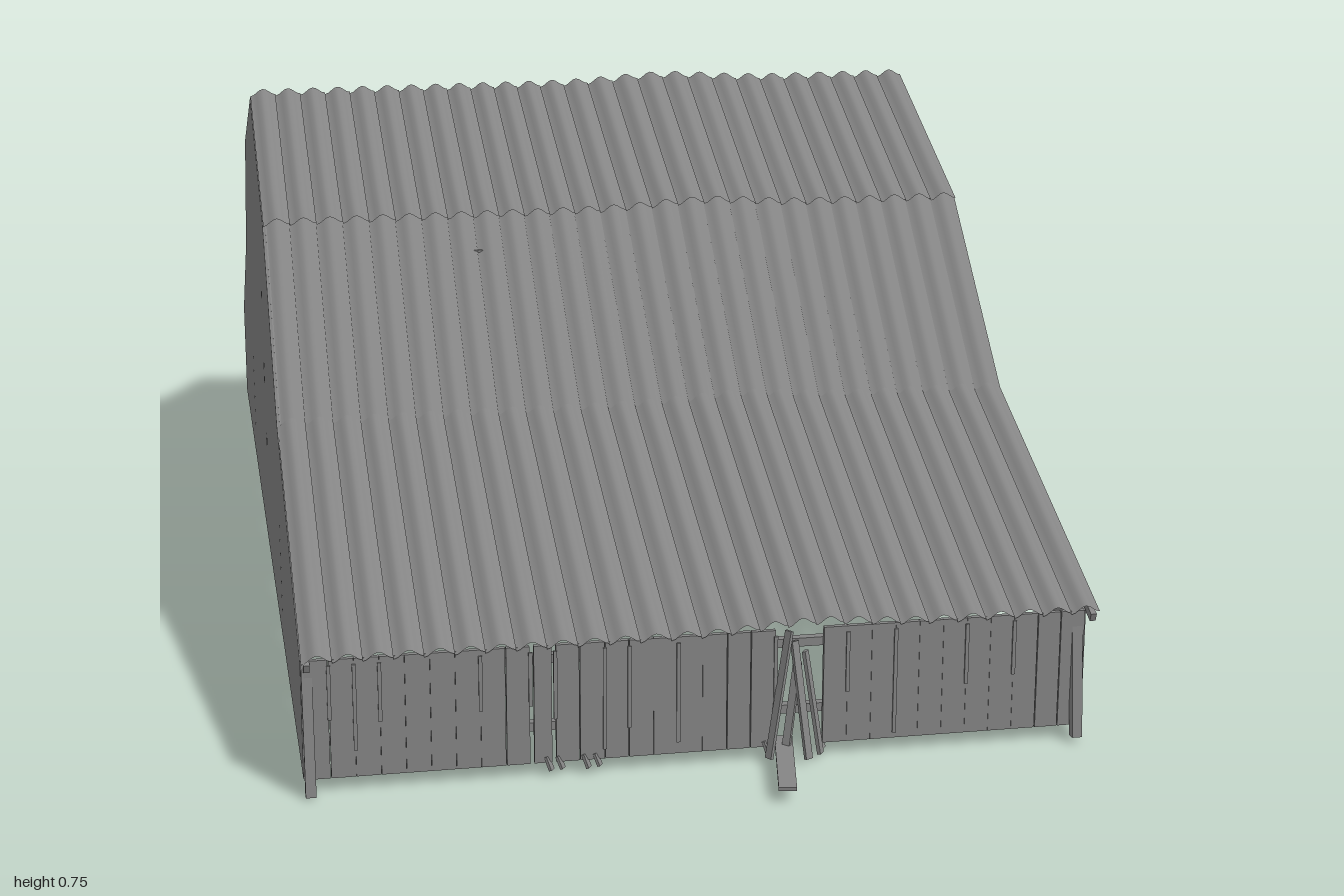
import * as THREE from 'three';
import { mergeGeometries } from 'three/addons/utils/BufferGeometryUtils.js';

const grey = new THREE.MeshStandardMaterial({ color: 0x848484, side: THREE.DoubleSide });

// Roof line as [z, y], from the front eave over the ridge to the back eave
const ROOF = [[0.864, 0.19], [0.39, 0.367], [0.12, 0.6], [-0.215, 0.732], [-0.53, 0.6], [-0.69, 0.377], [-0.975, 0.19]];
const X0 = -0.588, X1 = 0.489, WALL_L = 0.47, WALL_R = -0.585;

function rng(seed) {
  return () => (seed = (seed * 16807) % 2147483647) / 2147483647;
}

function roofY(z) {
  for (let i = 0; i < ROOF.length - 1; i++) {
    const [za, ya] = ROOF[i], [zb, yb] = ROOF[i + 1];
    if (z <= za && z >= zb) return ya + (yb - ya) * (za - z) / (za - zb);
  }
  return 0.19;
}

function add(parent, name, geometry) {
  const mesh = new THREE.Mesh(geometry, grey);
  mesh.name = name;
  parent.add(mesh);
  return mesh;
}

// Rectangular timber between two points
function beam(parent, name, a, b, w = 0.018, h = w) {
  const from = new THREE.Vector3(...a), to = new THREE.Vector3(...b);
  const mesh = add(parent, name, new THREE.BoxGeometry(w, h, from.distanceTo(to)));
  mesh.position.copy(from).lerp(to, 0.5);
  mesh.lookAt(to);
  return mesh;
}

// Corrugated sheets between two roof points: one narrow panel per wave, each lapping the next
function sheet([za, ya], [zb, yb], lift) {
  const waves = 27, panels = [];
  for (let k = 0; k < waves; k++) {
    const geo = new THREE.PlaneGeometry(1, 1, 8, 5);
    const pos = geo.attributes.position;
    for (let i = 0; i < pos.count; i++) {
      const f = pos.getX(i) + 0.5, t = 0.5 - pos.getY(i);
      const x = X0 + (k + f) / waves * (X1 - X0);
      const y = ya + (yb - ya) * t, z = za + (zb - za) * t;
      const sag = 0.009 * Math.exp(-(((x - 0.09) / 0.1) ** 2));
      // The middle panels have slid sideways towards the eaves
      const skew = 0.035 * Math.exp(-(((x + 0.05) / 0.17) ** 2)) * (0.45 - y);
      const wave = -0.005 * Math.cos(f * Math.PI * 2) + 0.0025 * f;
      pos.setXYZ(i, x + skew, y + wave + sag + lift, z);
    }
    geo.computeVertexNormals();
    panels.push(geo);
  }
  return mergeGeometries(panels);
}

function rectPath(u0, u1, v0, v1) {
  return new THREE.Path([[u0, v0], [u0, v1], [u1, v1], [u1, v0]].map(p => new THREE.Vector2(...p)));
}

// Gable wall: doors are notches [zFront, zBack] in the lower edge
function gableGeometry(doors, holes) {
  const pts = [[0.85, 0.02]];
  for (const [a, b] of doors) pts.push([a, 0.02], [a, 0.18], [b, 0.18], [b, 0.02]);
  pts.push([-0.96, 0.02]);
  const top = ROOF.map(([z, y]) => [THREE.MathUtils.clamp(z, -0.96, 0.85), y - 0.006]);
  pts.push(...top.reverse());
  const shape = new THREE.Shape(pts.map(([z, y]) => new THREE.Vector2(-z, y)));
  shape.holes = holes.map(([z0, z1, y0, y1]) => rectPath(-z0, -z1, y0, y1));
  return new THREE.ExtrudeGeometry(shape, { depth: 0.008, bevelEnabled: false }).rotateY(Math.PI / 2);
}

// Low plank wall with a missing board and a broken patch, facing +z
function plankWall(name, seed) {
  const wall = new THREE.Group(), rand = rng(seed);
  wall.name = name;
  const n = 32, pitch = 1.056 / n;
  for (let i = 0; i < n; i++) {
    const x = -0.528 + (i + 0.5) * pitch;
    if (x > 0.11 && x < 0.15) continue;
    const w = pitch * (i === 9 ? 0.78 : 1) - (rand() < 0.2 ? 0.002 : 0.0003);
    add(wall, 'wallBoard', new THREE.BoxGeometry(w, 0.166, 0.007)).position.set(x, 0.105, 0);
    // Narrow cover strips of uneven length, hanging from the top
    if (rand() < 0.6) {
      const len = 0.07 + rand() * 0.08;
      add(wall, 'coverStrip', new THREE.BoxGeometry(0.005, len, 0.004)).position.set(x + pitch / 2, 0.18 - len / 2, 0.004);
    }
  }
  // Splintered boards leaning out of the broken patch
  [[0.118, 0.088, 0.02], [0.125, 0.14, 0.03], [0.14, 0.16, 0.015], [0.13, 0.108, 0.025]].forEach(([xt, xb, out], i) =>
    beam(wall, 'brokenBoard', [xt, 0.185 - i * 0.015, 0], [xb, 0.012, out], 0.011, 0.005));
  // Ragged splinters along the foot
  for (const x of [-0.21, -0.195, -0.16, -0.145, 0.085, 0.1, 0.16]) {
    beam(wall, 'splinter', [x, 0.03, 0.002], [x + 0.006, 0.01 + rand() * 0.006, 0.006], 0.009, 0.004);
  }
  for (const y of [0.07, 0.165]) beam(wall, 'wallRail', [-0.52, y, -0.012], [0.52, y, -0.012], 0.012);
  for (const [x, foot] of [[-0.523, 0.004], [0.518, 0.01]]) {
    beam(wall, 'cornerPost', [x, 0.185, -0.006], [x, foot, 0.016], 0.014);
  }
  return wall;
}

export function createModel() {
  const barn = new THREE.Group();
  barn.name = 'barn';

  // Corrugated roof, the ridge sheets lapping over the lower ones
  for (let i = 0; i < 6; i++) {
    const a = [...ROOF[i]], b = [...ROOF[i + 1]], isTop = i === 2 || i === 3;
    if (isTop) {
      const [low, high] = i === 2 ? [a, b] : [b, a];
      low[0] += (low[0] - high[0]) * 0.025;
      low[1] += (low[1] - high[1]) * 0.025;
    }
    add(barn, 'roofSheet', sheet(a, b, isTop ? 0.003 : 0));
    // Barge boards at both ends
    for (const x of [WALL_R + 0.004, WALL_L + 0.01]) {
      beam(barn, 'bargeBoard', [x, ROOF[i][1] - 0.011, ROOF[i][0]], [x, ROOF[i + 1][1] - 0.011, ROOF[i + 1][0]], 0.008, 0.012);
    }
  }

  // Gable with doorways, windows and the loft opening
  add(barn, 'openGable', gableGeometry(
    [[0.73, 0.46], [0.38, 0.28], [-0.06, -0.39], [-0.69, -0.905]],
    [[0.1, 0.035, 0.445, 0.525], [-0.48, -0.555, 0.445, 0.525], [0.01, -0.04, 0.205, 0.31],
      [-0.085, -0.32, 0.33, 0.68], [-0.12, -0.27, 0.195, 0.315], [-0.042, -0.05, 0.41, 0.65],
      [-0.53, -0.555, 0.24, 0.25], [0.335, 0.315, 0.375, 0.395], [-0.415, -0.42, 0.2, 0.3], [0.6, 0.595, 0.19, 0.25]]
  )).position.x = WALL_L - 0.004;

  // Closed gable with a few cracks
  add(barn, 'closedGable', gableGeometry([],
    [[-0.528, -0.532, 0.06, 0.22], [0.353, 0.35, 0.06, 0.2], [-0.02, -0.035, 0.2, 0.22],
      [-0.03, -0.04, 0.3, 0.34], [-0.02, -0.035, 0.44, 0.455]]
  )).position.x = WALL_R - 0.004;

  // Window frames
  for (const [z, y, w, h] of [[0.068, 0.485, 0.065, 0.08], [-0.518, 0.485, 0.075, 0.08], [-0.015, 0.258, 0.05, 0.105]]) {
    const x = WALL_L + 0.003;
    for (const s of [-1, 1]) {
      beam(barn, 'windowFrame', [x, y + s * h / 2, z - w / 2], [x, y + s * h / 2, z + w / 2], 0.006);
      beam(barn, 'windowFrame', [x, y - h / 2, z + s * w / 2], [x, y + h / 2, z + s * w / 2], 0.006);
    }
  }
  // Battens and door lintels
  for (const z of [0.78, 0.44, 0.3, 0.2, -0.05, -0.41, -0.62, -0.92]) {
    beam(barn, 'batten', [WALL_L + 0.004, 0.02, z], [WALL_L + 0.004, Math.min(roofY(z) - 0.03, 0.3), z], 0.005);
  }
  for (const [a, b] of [[0.74, 0.45], [0.39, 0.27], [-0.05, -0.41], [-0.68, -0.91]]) {
    beam(barn, 'doorLintel', [WALL_L + 0.002, 0.184, a], [WALL_L + 0.002, 0.184, b], 0.008);
  }
  // Exposed framing inside the loft opening
  const x = WALL_L - 0.002;
  for (const [a, b] of [
    [[-0.08, 0.32], [-0.32, 0.32]], [[-0.08, 0.56], [-0.2, 0.56]], [[-0.08, 0.595], [-0.2, 0.595]],
    [[-0.19, 0.19], [-0.19, 0.69]], [[-0.19, 0.31], [-0.125, 0.19]], [[-0.19, 0.31], [-0.265, 0.19]],
    [[-0.15, 0.19], [-0.235, 0.315]]
  ]) beam(barn, 'loftStrut', [x, a[1], a[0]], [x, b[1], b[0]], 0.01);

  // Leaning loft door, peppered with small holes
  const door = new THREE.Shape([[-0.056, 0], [0.056, 0], [0.056, 0.37], [-0.056, 0.37]].map(p => new THREE.Vector2(...p)));
  const rand = rng(77);
  for (let i = 0; i < 5; i++) {
    for (let j = 0; j < 16; j++) {
      if (rand() < 0.2) continue;
      const u = -0.042 + i * 0.021 + (rand() - 0.5) * 0.008, v = 0.015 + j * 0.0226;
      door.holes.push(rectPath(u, u + 0.004, v, v + 0.004));
    }
  }
  const loftDoor = add(barn, 'loftDoor', new THREE.ExtrudeGeometry(door, { depth: 0.006, bevelEnabled: false })
    .rotateZ(0.06).rotateX(0.045).rotateY(Math.PI / 2));
  loftDoor.position.set(WALL_L, 0.308, -0.27);

  // Fallen loft door lying through the doorway
  const fallen = new THREE.Group();
  fallen.name = 'fallenDoor';
  add(fallen, 'doorPanel', new THREE.BoxGeometry(0.37, 0.005, 0.115));
  for (const s of [-0.15, 0, 0.15]) add(fallen, 'doorBrace', new THREE.BoxGeometry(0.014, 0.002, 0.11)).position.set(s, 0.003, 0);
  fallen.position.set(0.397, 0.022, -0.163);
  fallen.rotation.y = -0.29;
  barn.add(fallen);

  // Low plank walls at the front and back
  const front = plankWall('frontWall', 12), back = plankWall('backWall', 12);
  front.position.set(-0.058, 0, 0.855);
  back.position.set(-0.058, 0, -0.964);
  back.rotation.y = Math.PI;
  barn.add(front, back);
  beam(barn, 'fallenPlank', [0.055, 0.03, 0.85], [0.028, 0.022, 0.995], 0.024, 0.005);

  // Interior posts joined by beams, and studs along the closed gable
  for (const z of [0.16, -0.45]) {
    for (const px of [-0.27, 0.05]) beam(barn, 'innerPost', [px, 0.02, z], [px, roofY(z) - 0.01, z], 0.022);
    beam(barn, 'wallStud', [WALL_R + 0.012, 0.02, z], [WALL_R + 0.012, roofY(z) - 0.02, z], 0.018);
    beam(barn, 'crossBeam', [WALL_R + 0.01, 0.36, z], [WALL_L, 0.36, z], 0.02);
  }
  for (const px of [-0.27, 0.05]) beam(barn, 'tieBeam', [px, 0.36, 0.16], [px, 0.36, -0.45], 0.02);

  return barn;
}
